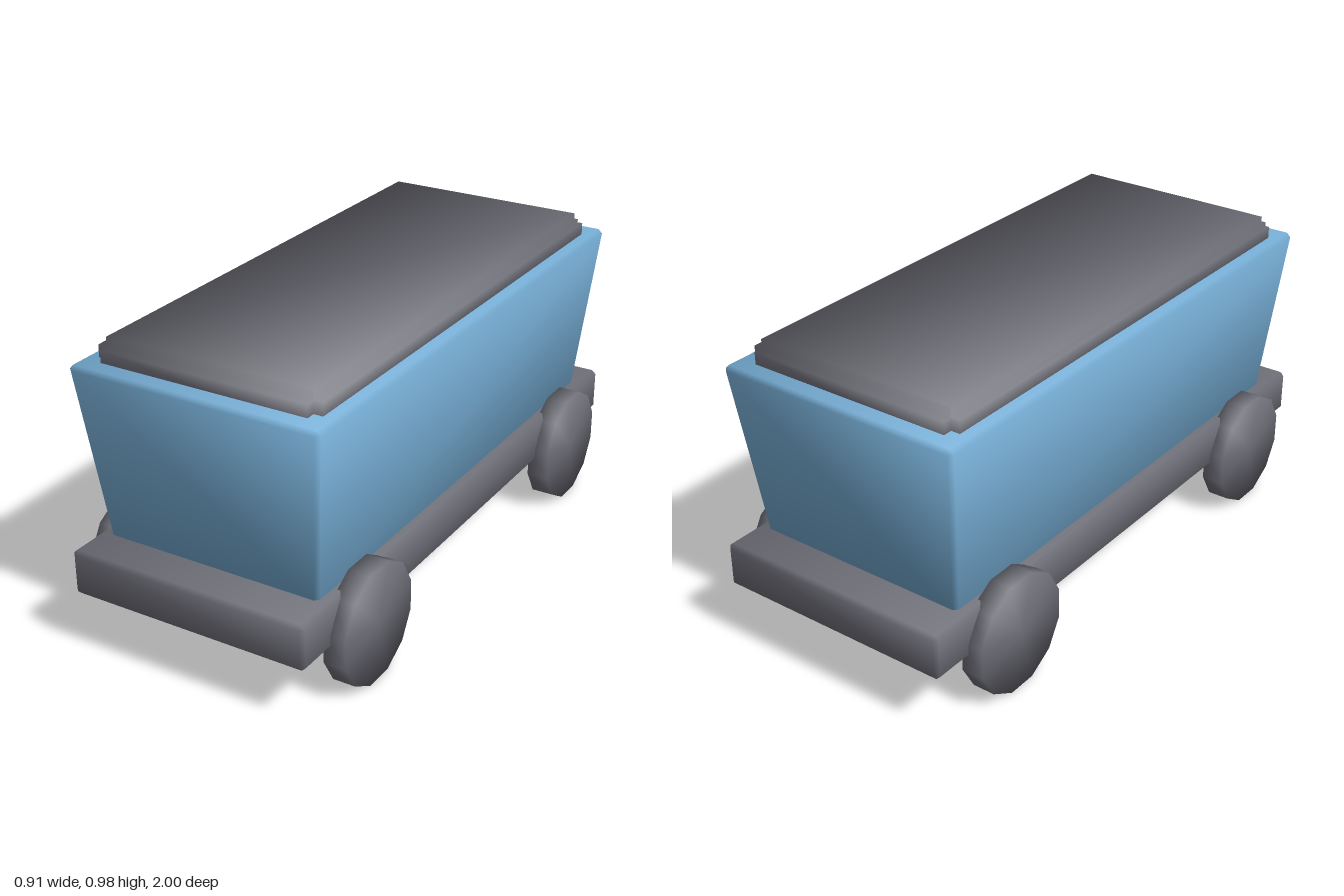
import * as THREE from 'three';
import { mergeVertices } from 'three/addons/utils/BufferGeometryUtils.js';

const grey = new THREE.MeshStandardMaterial({ color: 0x6e6e78 });
grey.name = 'slate grey';
const blue = new THREE.MeshStandardMaterial({ color: 0x78b0d8 });
blue.name = 'light blue';

// Welds the vertices and gives them angle-weighted smooth normals
function smooth(source) {
  source.deleteAttribute('normal');
  source.deleteAttribute('uv');
  const geo = mergeVertices(source, 1e-4);
  const pos = geo.attributes.position;
  const sums = Array.from({ length: pos.count }, () => new THREE.Vector3());
  const kept = [];
  for (let t = 0; t < geo.index.count; t += 3) {
    const ids = [0, 1, 2].map((k) => geo.index.getX(t + k));
    const p = ids.map((i) => new THREE.Vector3().fromBufferAttribute(pos, i));
    const normal = p[1].clone().sub(p[0]).cross(p[2].clone().sub(p[0]));
    if (normal.length() < 1e-7) continue;
    normal.normalize();
    kept.push(...ids);
    ids.forEach((id, k) => {
      const a = p[(k + 1) % 3].clone().sub(p[k]);
      const b = p[(k + 2) % 3].clone().sub(p[k]);
      sums[id].addScaledVector(normal, a.angleTo(b));
    });
  }
  geo.setIndex(kept);
  const normals = sums.flatMap((n) => n.normalize().toArray());
  geo.setAttribute('normal', new THREE.Float32BufferAttribute(normals, 3));
  return geo;
}

// Rectangular ring, three points per corner: cut is the corner size,
// chamfered by default or stepped inwards when notched
function ring(y, hx, hz, cut = 0, notched = false) {
  const corners = [[-1, 1], [1, 1], [1, -1], [-1, -1]];
  return corners.flatMap(([sx, sz], i) => {
    const side = [sx * hx, y, sz * (hz - cut)];
    const end = [sx * (hx - cut), y, sz * hz];
    const [first, last] = i % 2 ? [end, side] : [side, end];
    const middle = notched ? [sx * (hx - cut), y, sz * (hz - cut)] : first;
    return [first, middle, last];
  });
}

// Skins a stack of rings, bottom to top, and caps both ends
function loft(rings) {
  const n = rings[0].length;
  const index = [];
  for (let r = 0; r < rings.length - 1; r++) {
    for (let k = 0; k < n; k++) {
      const a = r * n + k;
      const b = r * n + ((k + 1) % n);
      const c = b + n;
      const d = a + n;
      if (Math.floor(k / 3) % 2) index.push(a, b, c, a, c, d);
      else index.push(a, b, d, b, c, d);
    }
  }
  const top = (rings.length - 1) * n;
  for (let k = 1; k < n - 1; k++) {
    index.push(top, top + k, top + k + 1);
    index.push(3, (3 + k + 1) % n, (3 + k) % n);
  }
  const geo = new THREE.BufferGeometry();
  geo.setAttribute('position', new THREE.Float32BufferAttribute(rings.flat(2), 3));
  geo.setIndex(index);
  return smooth(geo);
}

export function createModel() {
  const model = new THREE.Group();
  model.name = 'miningCart';
  const add = (name, geo, material) => {
    const mesh = new THREE.Mesh(geo, material);
    mesh.name = name;
    model.add(mesh);
    return mesh;
  };

  // Chassis slab with chamfered edges
  add('chassis', loft([
    ring(0.19, 0.393, 0.987),
    ring(0.203, 0.407, 1, 0.013),
    ring(0.327, 0.407, 1, 0.013),
    ring(0.34, 0.393, 0.987),
  ]), grey);

  // Tub flaring towards the top
  add('tub', loft([
    ring(0.32, 0.355, 0.85),
    ring(0.333, 0.369, 0.863, 0.013),
    ring(0.896, 0.423, 0.932, 0.013),
    ring(0.91, 0.41, 0.919),
  ]), blue);

  // Load with stepped edges, sunk into the tub
  add('load', loft([
    ring(0.84, 0.35, 0.84),
    ring(0.87, 0.35, 0.84),
    ring(0.87, 0.38, 0.87, 0.03, true),
    ring(0.95, 0.38, 0.87, 0.03, true),
    ring(0.95, 0.35, 0.84),
    ring(0.98, 0.35, 0.84),
  ]), grey);

  // Four twelve-sided wheels
  const wheelGeo = smooth(new THREE.CylinderGeometry(0.194, 0.194, 0.074, 12)
    .rotateY(Math.PI / 12).rotateZ(Math.PI / 2));
  for (const [sx, side] of [[1, 'Left'], [-1, 'Right']]) {
    for (const [sz, end] of [[1, 'front'], [-1, 'rear']]) {
      add(end + side + 'Wheel', wheelGeo, grey).position.set(sx * 0.42, 0.1874, sz * 0.67);
    }
  }
  return model;
}
